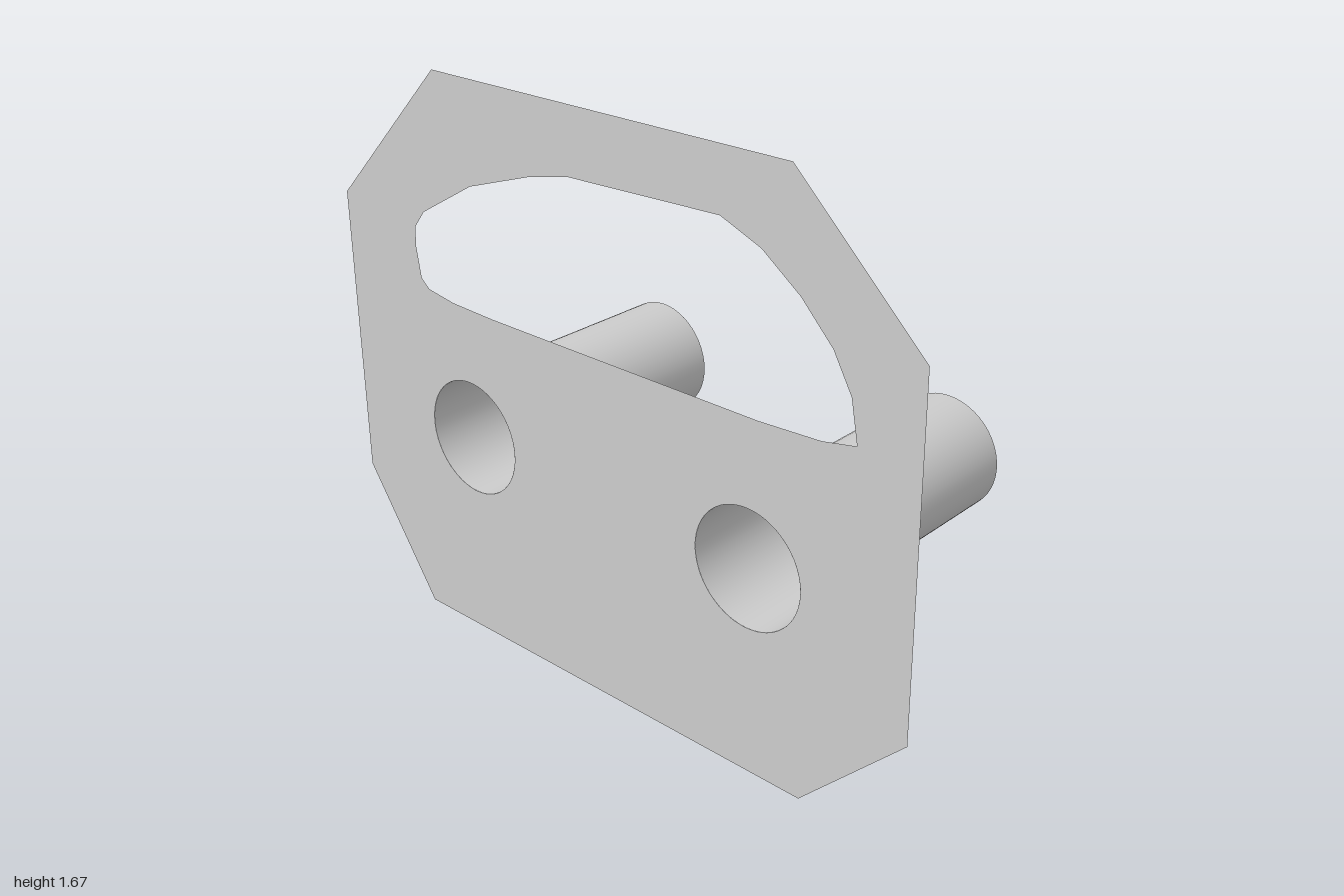
import * as THREE from 'three';

const FRONT = 0.43; // plane of the face plate
const SEGMENTS = 48;

const material = new THREE.MeshStandardMaterial({ color: 0xcccccc, side: THREE.DoubleSide });

// Socket centres, radius and rear end
const sockets = [
  { name: 'rightSocket', x: -0.51, y: 0.63, r: 0.17, back: -0.355 },
  { name: 'leftSocket', x: 0.5, y: 0.605, r: 0.17, back: -0.43 },
];

const toPoints = (list) => list.map(([x, y]) => new THREE.Vector2(x, y));

// Thin plate with clipped corners, a handle opening and two round holes
function createPlate() {
  const shape = new THREE.Shape(toPoints([
    [-0.745, 0], [0.68, 0], [1, 0.32], [1, 1.3],
    [0.62, 1.67], [-0.585, 1.67], [-1, 1.25], [-1, 0.38],
  ]));
  shape.holes.push(new THREE.Path(toPoints([
    [-0.705, 1.16], [-0.7, 1.215], [-0.66, 1.265], [-0.46, 1.38], [-0.23, 1.455], [-0.09, 1.485],
    [0.41, 1.5], [0.535, 1.45], [0.65, 1.365], [0.745, 1.265], [0.8, 1.165], [0.82, 1.05],
    [0.72, 1.03], [0.53, 1.02], [-0.4, 1.02], [-0.56, 1.025], [-0.66, 1.04], [-0.69, 1.065],
  ])));
  for (const { x, y, r } of sockets) {
    shape.holes.push(new THREE.Path().absarc(x, y, r, 0, Math.PI * 2, true));
  }
  const plate = new THREE.Mesh(new THREE.ShapeGeometry(shape, SEGMENTS), material);
  plate.name = 'facePlate';
  plate.position.z = FRONT;
  return plate;
}

// Tube open at the plate and closed at the rear
function createSocket({ name, x, y, r, back }) {
  const group = new THREE.Group();
  group.name = name;
  group.position.set(x, y, 0);

  const wallGeometry = new THREE.CylinderGeometry(r, r, FRONT - back, SEGMENTS, 1, true);
  wallGeometry.rotateX(Math.PI / 2);
  const wall = new THREE.Mesh(wallGeometry, material);
  wall.name = name + 'Wall';
  wall.position.z = (FRONT + back) / 2;

  const cap = new THREE.Mesh(new THREE.CircleGeometry(r, SEGMENTS), material);
  cap.name = name + 'Cap';
  cap.rotation.y = Math.PI;
  cap.position.z = back;

  group.add(wall, cap);
  return group;
}

export function createModel() {
  const model = new THREE.Group();
  model.name = 'handledPlate';
  model.add(createPlate(), ...sockets.map(createSocket));
  return model;
}
